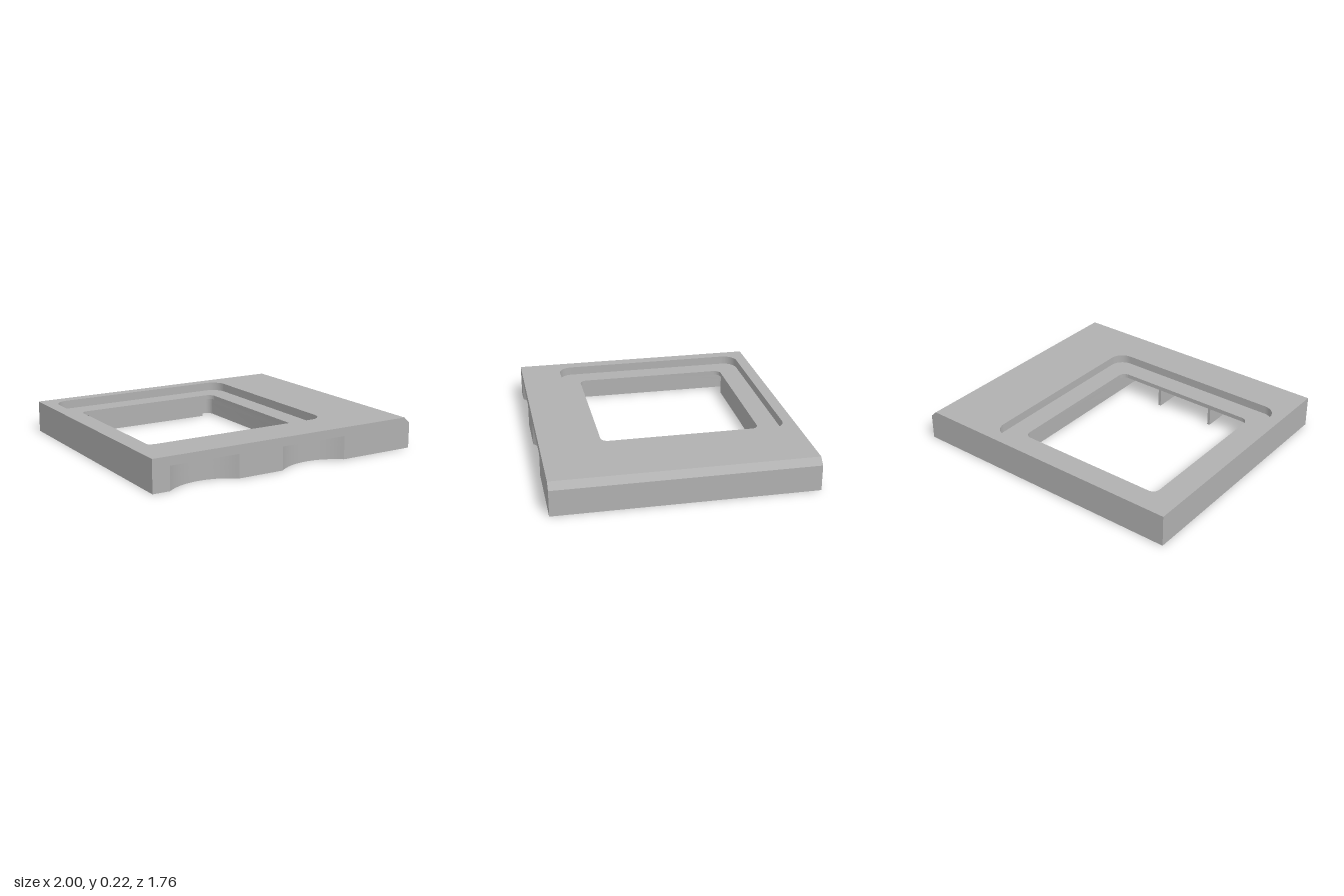
import * as THREE from 'three';
import { toCreasedNormals } from 'three/addons/utils/BufferGeometryUtils.js';

const W = 1, D = 0.88, H = 0.22;           // half width, half depth, height
const POCKET_Y = 0.09, LIP_Y = 0.13, SEAT_Y = 0.16;

// closed outline with rounded corners from [x, z, radius] points
function rounded(points, Type = THREE.Path) {
  const path = new Type();
  const n = points.length, k = 0.5523;
  points.forEach(([x, z, r], i) => {
    const p = new THREE.Vector2(x, z);
    const toward = (q) => new THREE.Vector2(q[0], q[1]).sub(p).normalize();
    const a = toward(points[(i + n - 1) % n]), b = toward(points[(i + 1) % n]);
    const at = (dir, d) => p.clone().addScaledVector(dir, d);
    const s = at(a, r), e = at(b, r);
    if (i === 0) path.moveTo(s.x, s.y); else path.lineTo(s.x, s.y);
    if (r > 0) {
      const c1 = at(a, r * (1 - k)), c2 = at(b, r * (1 - k));
      path.bezierCurveTo(c1.x, c1.y, c2.x, c2.y, e.x, e.y);
    }
  });
  path.closePath();
  return path;
}

const rect = (x0, x1, z0, z1, r, Type) =>
  rounded([[x0, z0, r], [x1, z0, r], [x1, z1, r], [x0, z1, r]], Type);

// body outline with two curved scoops in the front edge
function scoopedOutline() {
  const half = 0.2475, depth = 0.09;
  const R = (half * half + depth * depth) / (2 * depth);
  const angle = Math.asin(half / R);
  const s = new THREE.Shape();
  s.moveTo(-W, -D);
  s.lineTo(W, -D);
  s.lineTo(W, D);
  for (const cx of [0.1925, -0.6325]) {
    s.lineTo(cx + half, D);
    s.absarc(cx, D - depth + R, R, -Math.PI / 2 + angle, -Math.PI / 2 - angle, true);
  }
  s.lineTo(-W, D);
  s.closePath();
  return s;
}

// horizontal slab of a plan outline between two heights
function slab(shape, holes, y0, y1) {
  shape.holes.push(...holes);
  const g = new THREE.ExtrudeGeometry(shape, { depth: y1 - y0, bevelEnabled: false, curveSegments: 16 });
  g.rotateX(Math.PI / 2).translate(0, y1, 0);
  return toCreasedNormals(g, 0.6);
}

export function createModel() {
  const group = new THREE.Group();
  const grey = new THREE.MeshStandardMaterial({ color: 0xb0b0b0 });
  grey.name = 'grey';
  const add = (name, geometry) => {
    const mesh = new THREE.Mesh(geometry, grey);
    mesh.name = name;
    group.add(mesh);
  };

  const window_ = () => rect(-0.77, 0.33, -0.65, 0.45, 0.05);
  const sidePocket = () => rect(0.40, 0.865, -0.09, 0.81, 0.08);
  const roundHole = () => new THREE.Path().absarc(0.67, -0.573, 0.068, 0, Math.PI * 2);
  // large underside cavity with relief slots at both back corners
  const cavity = () => rounded([
    [-0.83, 0.75, 0.06], [0.355, 0.75, 0.06], [0.355, -0.72, 0.05], [0.25, -0.72, 0.05],
    [0.25, -0.65, 0], [-0.71, -0.65, 0], [-0.71, -0.72, 0.055], [-0.83, -0.72, 0.055],
  ]);

  // body, bottom to top
  add('baseLayer', slab(scoopedOutline(), [sidePocket(), cavity(), roundHole()], 0, POCKET_Y));
  add('cavityLayer', slab(scoopedOutline(), [cavity(), roundHole()], POCKET_Y, LIP_Y));
  add('windowLip', slab(scoopedOutline(), [window_(), roundHole()], LIP_Y, SEAT_Y));
  add('topFrame', slab(rect(-W, 0.955, -D, D, 0, THREE.Shape),
    [rect(-0.915, 0.475, -0.8, 0.595, 0.1)], SEAT_Y, H));

  // chamfered strip along the +x edge
  const profile = new THREE.Shape([
    [0.955, SEAT_Y], [W, SEAT_Y], [W, 0.177], [0.955, H],
  ].map(([x, y]) => new THREE.Vector2(x, y)));
  add('chamferedEdge', new THREE.ExtrudeGeometry(profile, { depth: 2 * D, bevelEnabled: false })
    .translate(0, 0, -D));

  // two thin ribs bridging the front of the cavity
  for (const x of [-0.01, -0.446]) {
    add('rib', new THREE.BoxGeometry(0.02, LIP_Y, 0.3).translate(x, LIP_Y / 2, 0.6));
  }
  return group;
}
